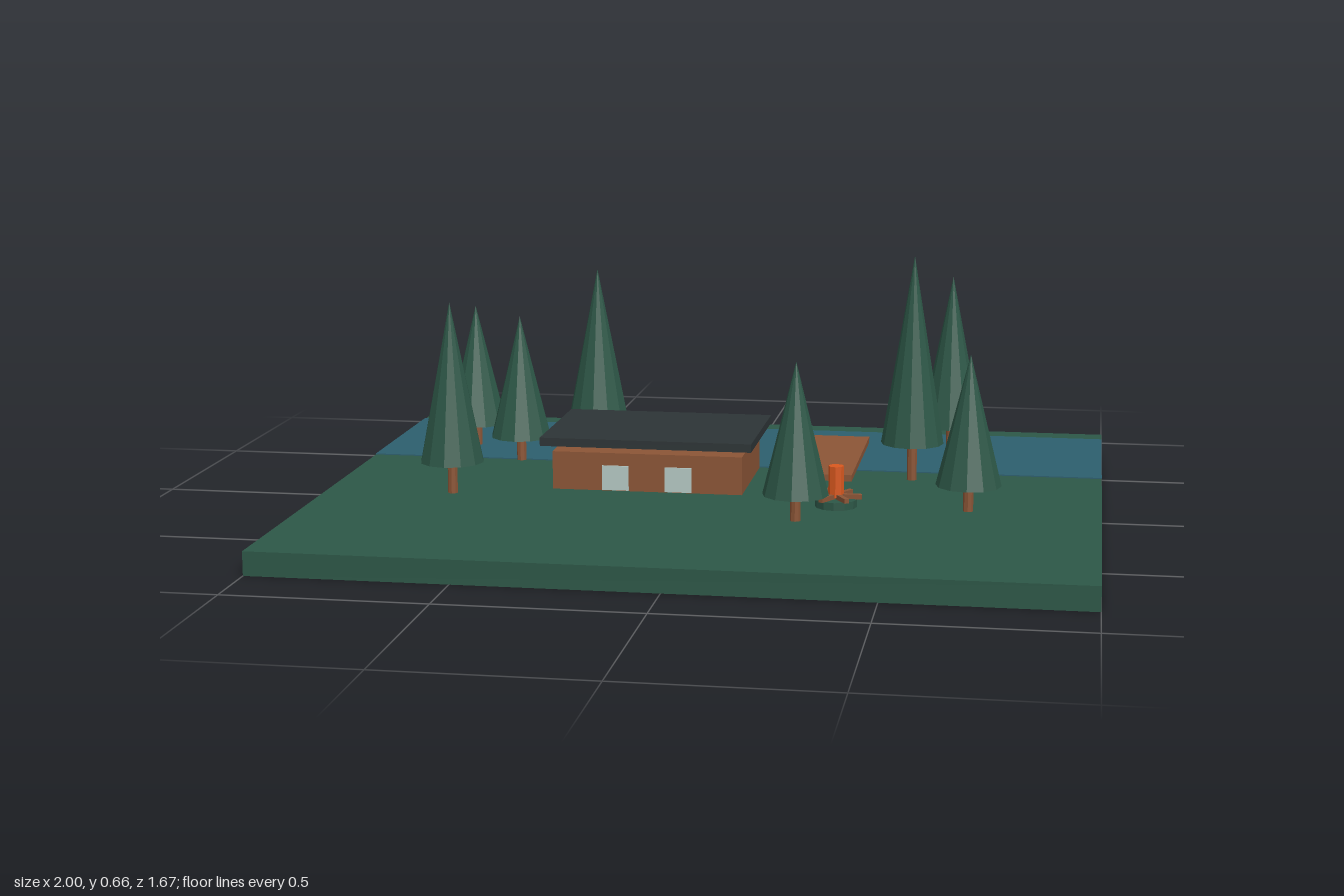
import * as THREE from 'three';

const material = (name, color) => {
  const m = new THREE.MeshStandardMaterial({ color, flatShading: true });
  m.name = name;
  return m;
};

export function createModel() {
  const green = material('forest green', 0x2d5747);
  const blue = material('lake blue', 0x2d5f6e);
  const wood = material('wood brown', 0x8b5536);
  const slate = material('roof slate', 0x2d3436);
  const glass = material('pale glass', 0xb4c8c3);
  const orange = material('flame orange', 0xd9581f);

  const model = new THREE.Group();
  model.name = 'lakesideCabin';
  const GROUND = 0.06;

  const add = (parent, name, geometry, mat, x, y, z) => {
    const mesh = new THREE.Mesh(geometry, mat);
    mesh.name = name;
    mesh.position.set(x, y, z);
    parent.add(mesh);
    return mesh;
  };
  const group = (name, x, z) => {
    const g = new THREE.Group();
    g.name = name;
    g.position.set(x, GROUND, z);
    model.add(g);
    return g;
  };
  const box = (w, h, d) => new THREE.BoxGeometry(w, h, d);

  // Land and the strip of lake
  add(model, 'ground', box(2, GROUND, 1.667), green, 0, GROUND / 2, 0);
  add(model, 'lake', box(2, 0.004, 0.505), blue, 0, GROUND + 0.001, -0.502);

  // Cabin with an overhanging flat roof and two front windows
  const cabin = group('cabin', -0.17, -0.083);
  add(cabin, 'walls', box(0.5, 0.1, 0.333), wood, 0, 0.05, 0);
  add(cabin, 'roof', box(0.555, 0.022, 0.388), slate, 0, 0.13, 0);
  for (const x of [-0.083, 0.083]) {
    add(cabin, 'window', box(0.07, 0.065, 0.008), glass, x, 0.0345, 0.167);
  }

  // Dock reaching over the water
  add(model, 'dock', box(0.2, 0.017, 0.5), wood, 0.248, 0.0765, -0.333);

  // Campfire: round base, star of logs, upright flame
  const fire = group('campfire', 0.333, 0.165);
  add(fire, 'fireBase', new THREE.CylinderGeometry(0.054, 0.054, 0.02, 12), green, 0, 0.01, 0);
  for (let i = 0; i < 3; i++) {
    const log = add(fire, 'log', box(0.132, 0.012, 0.012), wood, 0, 0.027, 0);
    log.rotation.y = (i * Math.PI) / 3;
  }
  add(fire, 'flame', new THREE.CylinderGeometry(0.02, 0.02, 0.08, 8), orange, 0, 0.065, 0);

  // Conifers: x, z, total height
  const trees = [
    [-0.75, -0.417, 0.4], [-0.583, -0.25, 0.4], [-0.417, -0.5, 0.5], [-0.667, 0.167, 0.5],
    [0.25, 0.333, 0.4], [0.667, 0.167, 0.4], [0.5, -0.167, 0.6], [0.583, -0.5, 0.5],
  ];
  for (const [x, z, h] of trees) {
    const tree = group('tree', x, z);
    const trunk = h / 6;
    add(tree, 'trunk', new THREE.CylinderGeometry(0.013, 0.013, trunk, 8), wood, 0, trunk / 2, 0);
    add(tree, 'foliage', new THREE.ConeGeometry(0.083, h - trunk, 12), green, 0, (h + trunk) / 2, 0);
  }

  return model;
}
